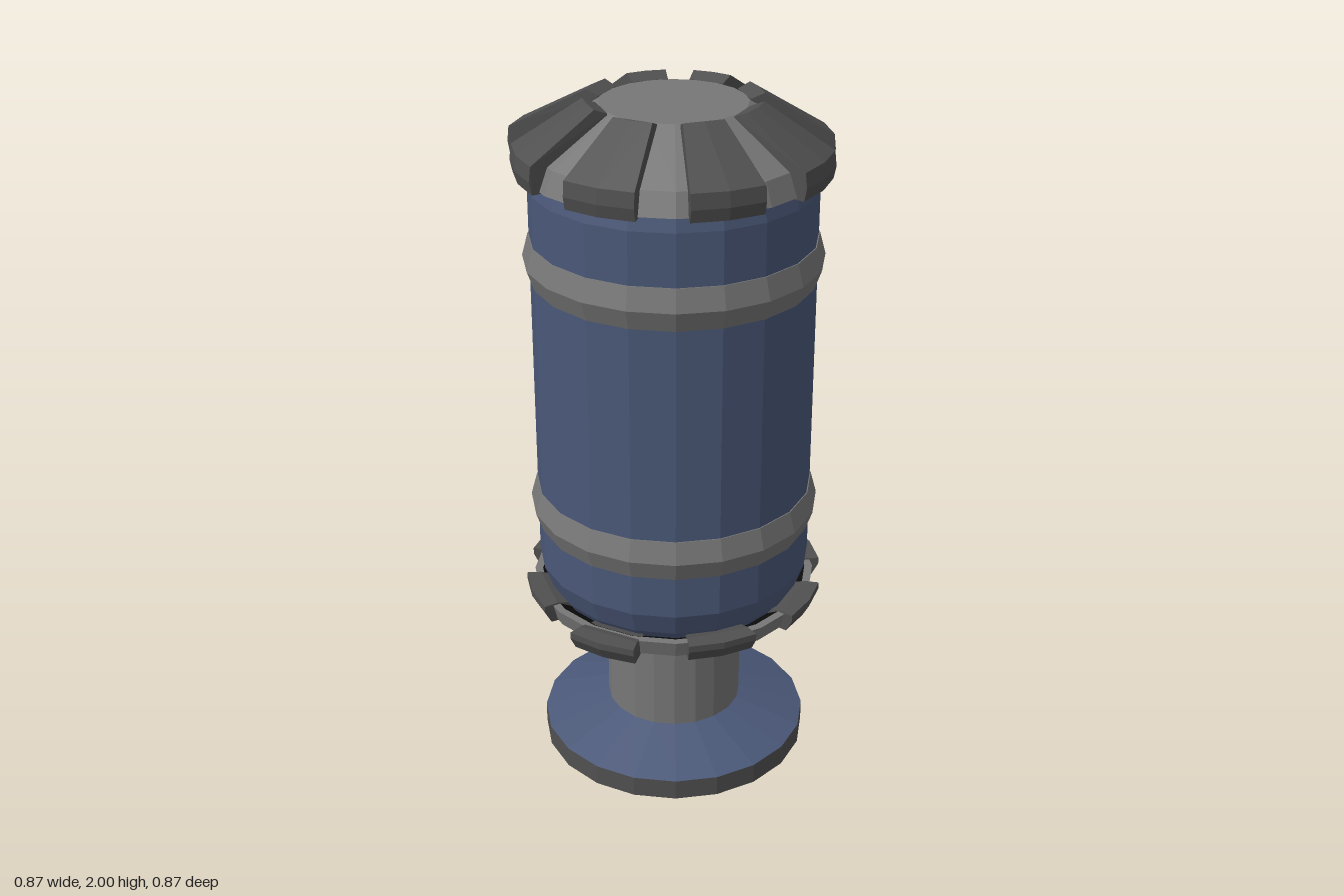
import * as THREE from 'three';
import { ConvexGeometry } from 'three/addons/geometries/ConvexGeometry.js';

const SIDES = 20;
const mat = (color) => new THREE.MeshStandardMaterial({ color, flatShading: true });

export function createModel() {
  const model = new THREE.Group();
  model.name = 'tankOnPedestal';
  const blue = mat(0x4a5878), grey = mat(0x777777), dark = mat(0x505050), black = mat(0x0c0c0c);

  // Faceted solid of revolution from [radius, y] points, listed bottom to top
  const turned = (name, points, material) => {
    const g = new THREE.LatheGeometry(points.map(([r, y]) => new THREE.Vector2(r, y)), SIDES);
    const mesh = new THREE.Mesh(g, material);
    mesh.name = name;
    model.add(mesh);
    return mesh;
  };

  // Ring of eight wedge lugs from [radius, y, halfWidth] points; one lug sits further out
  const lugRing = (name, profile, looseAngle) => {
    const group = new THREE.Group();
    group.name = name;
    for (let i = 0; i < 8; i++) {
      const angle = i * 45;
      const pts = [];
      for (const [r, y, w] of profile) {
        const out = angle === looseAngle && r > 0.3 ? r + 0.03 : r;
        pts.push(new THREE.Vector3(-w, y, out), new THREE.Vector3(w, y, out));
        pts.push(new THREE.Vector3(0, y, out + w * 0.12));
      }
      const lug = new THREE.Mesh(new ConvexGeometry(pts), dark);
      lug.name = name + 'Lug';
      lug.rotation.y = THREE.MathUtils.degToRad(angle);
      group.add(lug);
    }
    model.add(group);
  };

  // Pedestal: foot disc, sloped blue cover and column
  turned('footDisc', [[0, 0], [0.395, 0], [0.395, 0.062]], dark);
  turned('footCover', [[0.395, 0.062], [0.2, 0.125]], blue);
  turned('column', [[0.2, 0.12], [0.2, 0.51]], grey);

  // Tank body
  turned('tankBody', [[0.35, 0.53], [0.37, 0.56], [0.395, 0.63], [0.395, 1.765], [0.38, 1.83]], blue);

  // Raised bands round the tank
  for (const y of [0.81, 1.555]) {
    turned('tankBand', [[0.394, y - 0.06], [0.415, y], [0.398, y + 0.063], [0.39, y + 0.063]], grey);
  }

  // Lower flange with a recessed dark inside
  turned('lowerFlange', [[0.19, 0.506], [0.4, 0.506], [0.413, 0.555], [0.39, 0.555]], grey);
  turned('lowerFlangeRecess', [[0.39, 0.555], [0.345, 0.53]], black);
  lugRing('lowerFlangeLugs', [
    [0.2, 0.502, 0.05], [0.405, 0.502, 0.095], [0.425, 0.54, 0.1],
    [0.425, 0.56, 0.1], [0.385, 0.56, 0.09], [0.2, 0.51, 0.05],
  ], 315);

  // Top cap with sloped lugs
  turned('topCap', [[0.36, 1.81], [0.412, 1.81], [0.387, 1.872], [0.2, 1.985], [0, 1.985]], grey);
  lugRing('topCapLugs', [
    [0.198, 1.985, 0.05], [0.235, 2, 0.056], [0.42, 1.882, 0.1],
    [0.425, 1.84, 0.1], [0.418, 1.805, 0.1], [0.37, 1.805, 0.09], [0.2, 1.9, 0.05],
  ], 225);

  return model;
}
